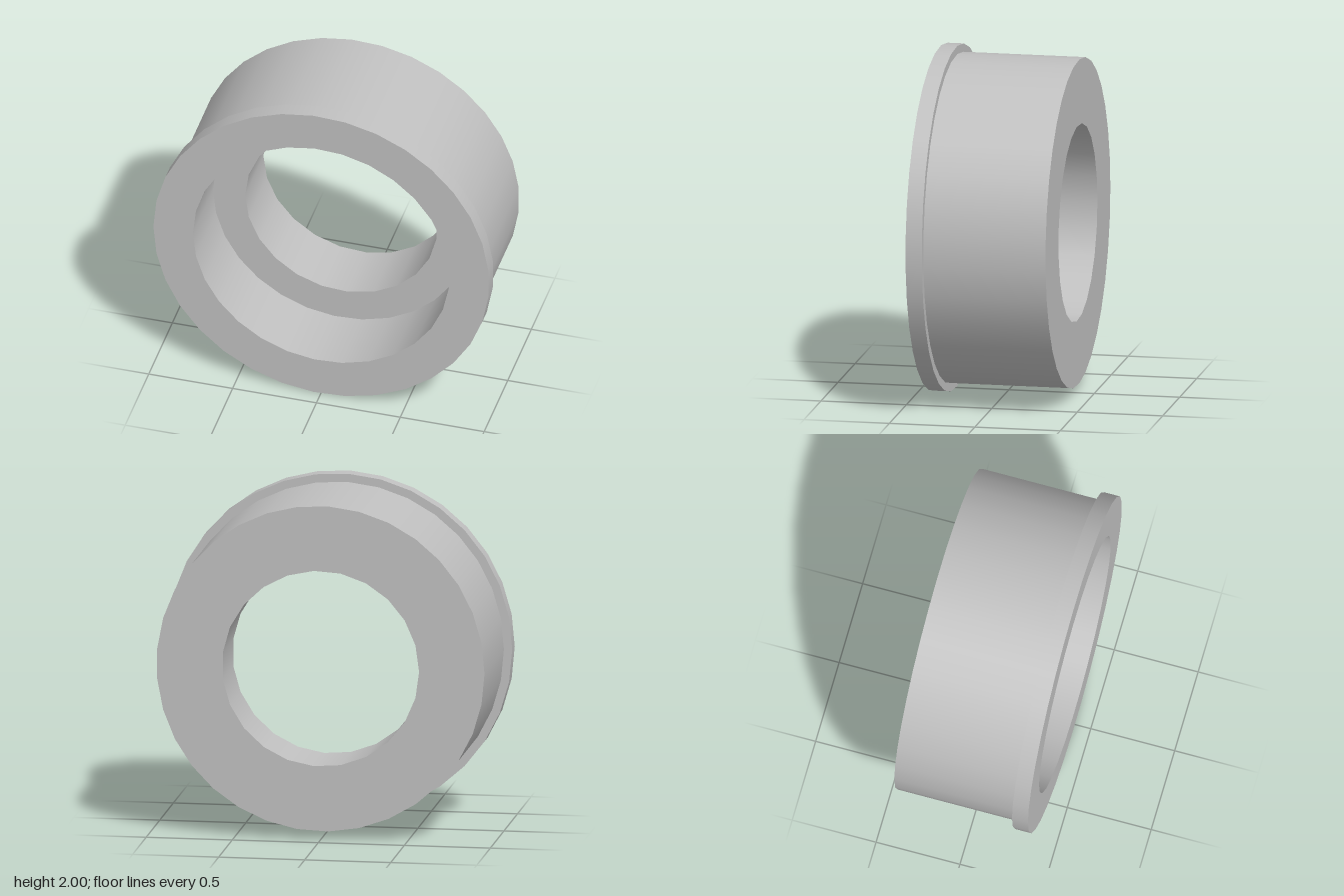
import * as THREE from 'three';

const AXIS_Y = 1;

export function createModel() {
  const model = new THREE.Group();
  model.name = 'flangedBushing';
  const grey = new THREE.MeshStandardMaterial({ color: 0xc0c0c0 });
  grey.name = 'plain grey';

  // Radius and number of sides of each circle
  const flange = { r: 1.001, n: 33 };
  const barrel = { r: 0.953, n: 33 };
  const recess = { r: 0.765, n: 29 };
  const bore = { r: 0.573, n: 23 };
  // Depths along the axis
  const front = 0.405, flangeBack = 0.31, step = -0.02, back = -0.405;

  function add(name, geometry) {
    const mesh = new THREE.Mesh(geometry, grey);
    mesh.name = name;
    mesh.position.set(0.002, AXIS_Y, 0);
    model.add(mesh);
  }

  // Round wall between two depths, facing outwards or inwards
  function wall(name, { r, n }, z0, z1, inward = false) {
    const g = new THREE.CylinderGeometry(r, r, z1 - z0, n, 1, true, -Math.PI / 2);
    g.rotateX(Math.PI / 2).translate(0, 0, (z0 + z1) / 2);
    if (inward) {
      g.index.array.reverse();
      const normals = g.attributes.normal.array;
      for (let i = 0; i < normals.length; i++) normals[i] *= -1;
    }
    add(name, g);
  }

  // Polygon points with a corner on the -x side
  function circle({ r, n }) {
    return Array.from({ length: n }, (_, i) => {
      const a = Math.PI + (i / n) * Math.PI * 2;
      return new THREE.Vector2(r * Math.cos(a), r * Math.sin(a));
    });
  }

  // Flat ring facing forwards or backwards
  function ring(name, outer, inner, z, backward = false) {
    const shape = new THREE.Shape(circle(outer));
    shape.holes.push(new THREE.Path(circle(inner)));
    const g = new THREE.ShapeGeometry(shape);
    if (backward) g.rotateX(Math.PI);
    add(name, g.translate(0, 0, z));
  }

  // Flange
  ring('flangeFrontFace', flange, recess, front);
  wall('flangeRim', flange, flangeBack, front);
  ring('flangeBackFace', flange, barrel, flangeBack, true);

  // Barrel
  wall('barrelOuterWall', barrel, back, flangeBack);
  ring('barrelBackFace', barrel, bore, back, true);

  // Stepped hole
  wall('recessWall', recess, step, front, true);
  ring('recessStep', recess, bore, step);
  wall('boreWall', bore, back, step, true);

  return model;
}
